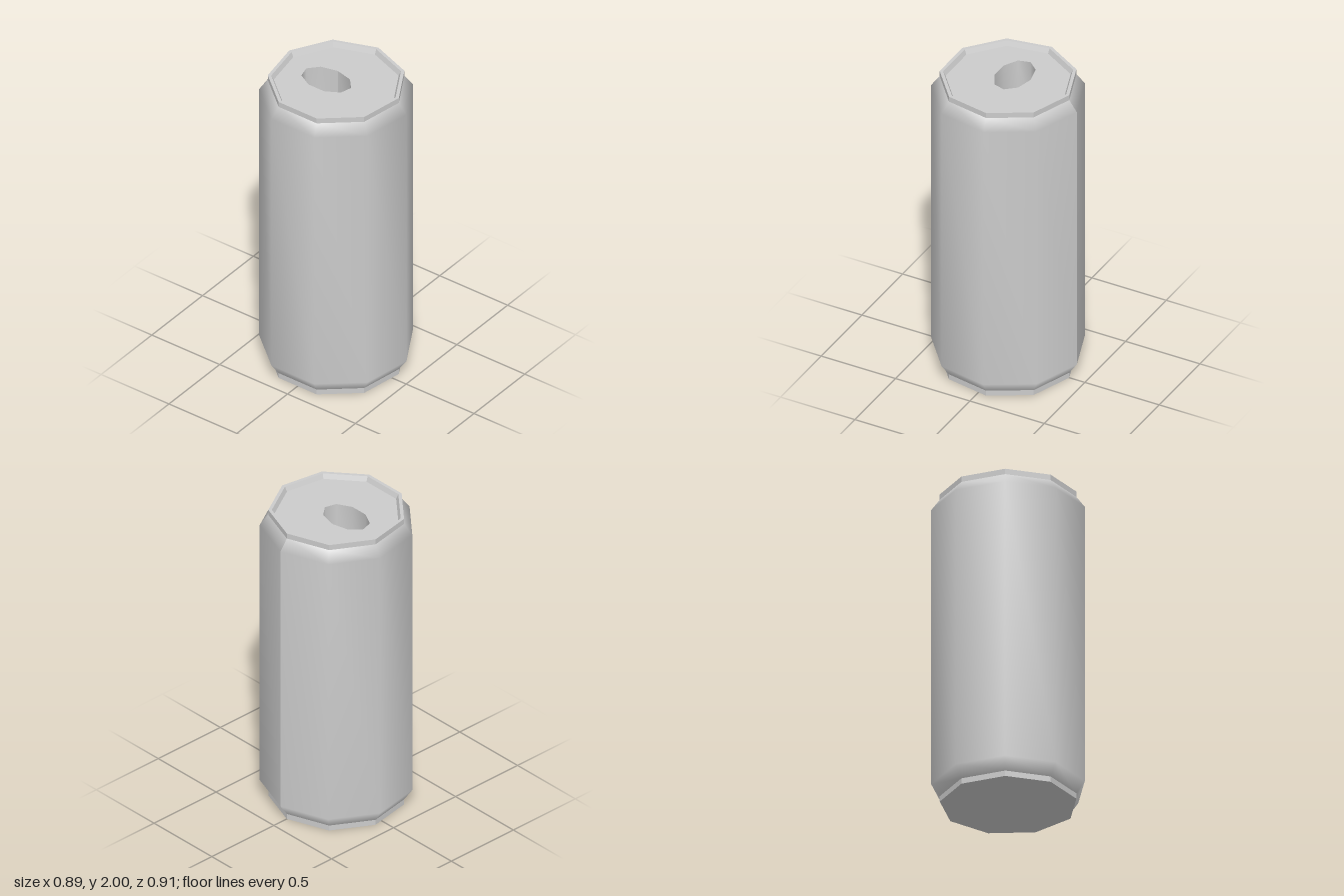
import * as THREE from 'three';

const SIDES = 9;
const RIM_Y = 1.97; // level of the sunken lid

const smooth = new THREE.MeshStandardMaterial({ color: 0xcccccc });
const flat = new THREE.MeshStandardMaterial({ color: 0xcccccc, flatShading: true });

// Nine-sided lathe with one corner on +x
function turned(name, profile, material) {
  const points = profile.map(([r, y]) => new THREE.Vector2(r, y));
  const geometry = new THREE.LatheGeometry(points, SIDES, Math.PI / 2);
  geometry.computeVertexNormals(); // leaves a crease at the seam
  const mesh = new THREE.Mesh(geometry, material);
  mesh.name = name;
  return mesh;
}

// Corners of a nine-sided oval in the lid's plane
function oval(cx, cy, rx, ry) {
  return Array.from({ length: SIDES }, (_, i) => {
    const a = (i / SIDES) * Math.PI * 2;
    return new THREE.Vector2(cx + rx * Math.cos(a), cy + ry * Math.sin(a));
  });
}

export function createModel() {
  const can = new THREE.Group();
  can.name = 'can';
  can.position.x = -0.015;

  // Smooth wall with tapered shoulders
  can.add(turned('body', [[0.41, 0.035], [0.461, 0.11], [0.461, 1.895], [0.41, 1.965]], smooth));

  // Faceted base and top rim
  can.add(turned('base', [[0, 0], [0.41, 0], [0.41, 0.035]], flat));
  can.add(turned('rim', [[0.41, 1.965], [0.41, 2], [0.389, 2], [0.375, RIM_Y]], flat));

  // Sunken lid with the drinking hole
  const hole = { x: 0, z: -0.074, rx: 0.11, rz: 0.168, depth: 0.3 };
  const shape = new THREE.Shape(oval(0, 0, 0.375, 0.375));
  shape.holes.push(new THREE.Path(oval(hole.x, -hole.z, hole.rx, hole.rz)));
  const lid = new THREE.Mesh(new THREE.ShapeGeometry(shape).rotateX(-Math.PI / 2), flat);
  lid.name = 'lid';
  lid.position.y = RIM_Y;
  can.add(lid);

  // Inside of the drinking hole
  const opening = new THREE.Group();
  opening.name = 'opening';
  opening.add(turned('openingWall', [[1, 0], [1, -hole.depth]], smooth));
  opening.add(turned('openingFloor', [[1, -hole.depth], [0, -hole.depth]], flat));
  opening.scale.set(hole.rx, 1, hole.rz);
  opening.position.set(hole.x, RIM_Y, hole.z);
  can.add(opening);

  const model = new THREE.Group();
  model.name = 'drinkCan';
  model.add(can);
  return model;
}
